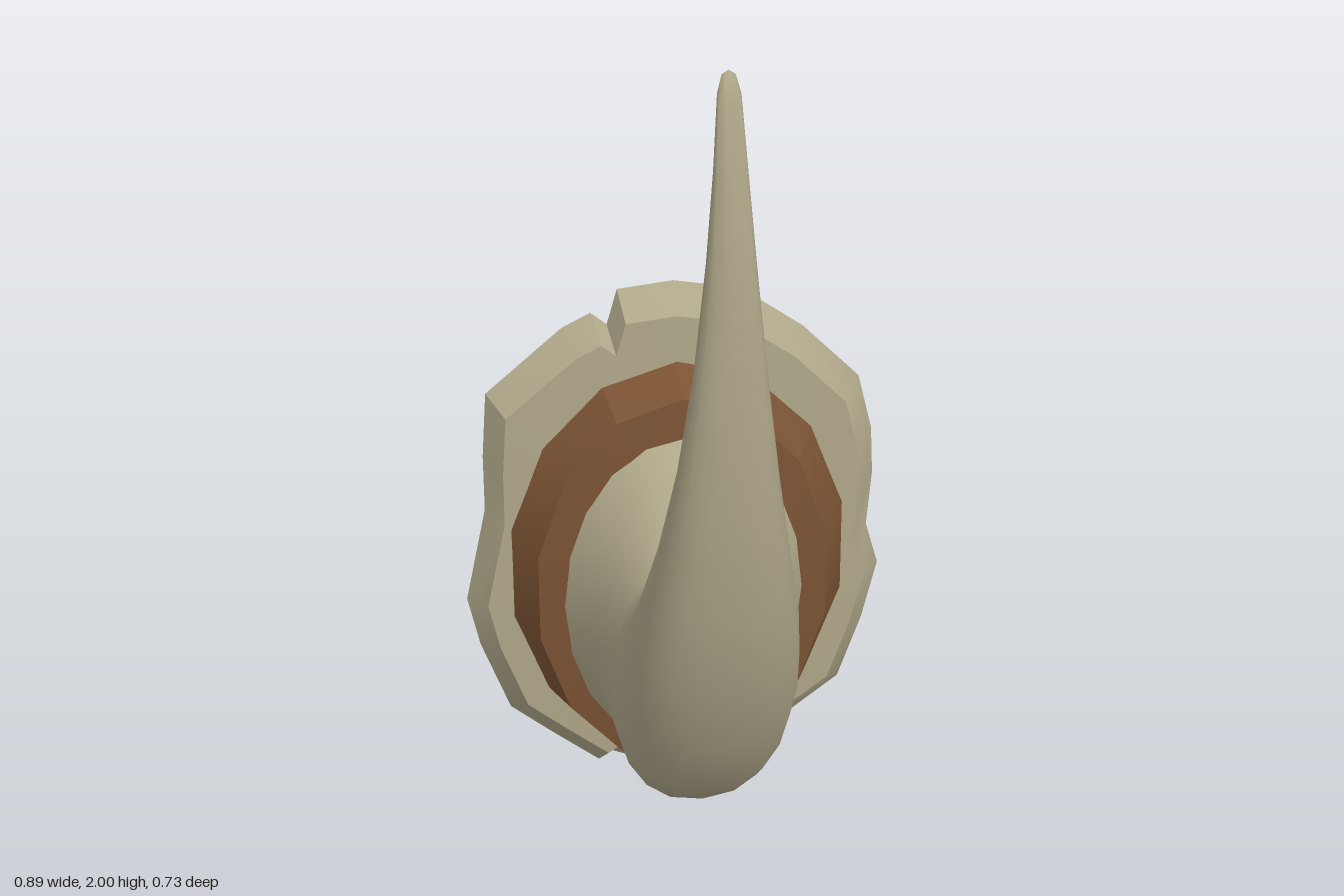
import * as THREE from 'three';
import { toCreasedNormals } from 'three/addons/utils/BufferGeometryUtils.js';

const bone = new THREE.MeshStandardMaterial({ name: 'bone', color: 0xb0a88a });
const bark = new THREE.MeshStandardMaterial({ name: 'brown band', color: 0x7b5334 });

// Skin a list of closed rings (counter-clockwise from the front, running towards +z)
function loft(rings, crease) {
  const n = rings[0].length;
  const index = [];
  for (let i = 0; i < rings.length - 1; i++) {
    for (let j = 0; j < n; j++) {
      const a = i * n + j, b = i * n + (j + 1) % n;
      index.push(a, b, a + n, b, b + n, a + n);
    }
  }
  const geometry = new THREE.BufferGeometry();
  geometry.setAttribute('position', new THREE.Float32BufferAttribute(rings.flat(2), 3));
  geometry.setIndex(index);
  geometry.computeVertexNormals();
  return toCreasedNormals(geometry, crease);
}

function part(name, geometry, material) {
  const mesh = new THREE.Mesh(geometry, material);
  mesh.name = name;
  return mesh;
}

// Curved horn: each section spans a front point and a back point, with a half width
function hornGeometry() {
  // front z, front y, back z, back y, half width
  const sections = [
    [-0.235, 0.155, -0.235, 0.94, 0.256],
    [-0.17, 0.168, -0.175, 0.88, 0.218],
    [-0.11, 0.175, -0.12, 0.83, 0.198],
    [0.01, 0.19, -0.04, 0.76, 0.183],
    [0.09, 0.27, 0.02, 0.775, 0.18],
    [0.2, 0.45, 0.08, 0.82, 0.176],
    [0.28, 0.65, 0.15, 0.92, 0.158],
    [0.33, 0.85, 0.21, 1.05, 0.13],
    [0.357, 1.1, 0.26, 1.22, 0.098],
    [0.367, 1.35, 0.292, 1.43, 0.07],
    [0.36, 1.6, 0.302, 1.65, 0.047],
    [0.34, 1.8, 0.297, 1.82, 0.032],
    [0.31, 1.95, 0.286, 1.96, 0.022],
    [0.298, 1.99, 0.284, 1.99, 0.013],
    [0.29, 2.0, 0.29, 2.0, 0],
  ];
  const sides = 20;
  const rings = sections.map(([fz, fy, bz, by, w], i) => {
    const power = i < 3 ? 1 : 0.85; // slightly squared beyond the root
    const round = (v) => Math.sign(v) * Math.abs(v) ** power;
    const ring = [];
    for (let j = 0; j < sides; j++) {
      const t = (j / sides) * Math.PI * 2;
      const s = (1 + round(Math.sin(t))) / 2;
      ring.push([w * round(Math.cos(t)), fy + (by - fy) * s, fz + (bz - fz) * s]);
    }
    return ring;
  });
  return loft(rings, 0.9);
}

// Faceted band around the root of the horn
function bandGeometry() {
  const sides = 14;
  const ring = (rx, bottom, top, z) => Array.from({ length: sides }, (_, j) => {
    const t = Math.PI / 2 + (j / sides) * Math.PI * 2;
    const mid = (top + bottom) / 2;
    return [rx * Math.cos(t), mid + (top - mid) * Math.sin(t), z];
  });
  return loft([
    ring(0.36, 0.105, 1.07, -0.306),
    ring(0.312, 0.108, 1.02, -0.234),
    ring(0.235, 0.17, 0.92, -0.225),
  ], 0.35);
}

// Broken-edged base plate with a shallow funnel behind
function plateGeometry() {
  const outline = [
    [0.415, 0.6], [0.425, 0.73], [0.42, 0.84], [0.39, 0.97], [0.27, 1.1], [0.14, 1.2],
    [0, 1.23], [-0.115, 1.22], [-0.137, 1.14], [-0.17, 1.17], [-0.23, 1.14], [-0.39, 1.0],
    [-0.4, 0.85], [-0.4, 0.72], [-0.445, 0.5], [-0.42, 0.38], [-0.36, 0.21], [-0.27, 0.13],
    [-0.17, 0.045], [-0.14, 0.065], [0, 0], [0.18, 0.07], [0.36, 0.21], [0.41, 0.36], [0.442, 0.5],
  ];
  const cy = 0.6;
  const rim = (k, z) => outline.map(([x, y]) => [x * k, cy + (y - cy) * k, z]);
  const oval = (rx, ry, y0, z) => outline.map(([x, y]) => {
    const t = Math.atan2((y - cy) / 0.6, x / 0.42);
    return [rx * Math.cos(t), y0 + ry * Math.sin(t), z];
  });
  return loft([
    oval(0, 0, 0.53, -0.175),
    oval(0.06, 0.1, 0.54, -0.188),
    oval(0.14, 0.22, 0.55, -0.21),
    oval(0.23, 0.34, 0.56, -0.245),
    oval(0.3, 0.43, 0.58, -0.285),
    oval(0.35, 0.5, 0.6, -0.325),
    rim(0.98, -0.36),
    rim(1, -0.356),
    rim(0.91, -0.307),
    oval(0.335, 0.46, 0.59, -0.304),
  ], 0.5);
}

export function createModel() {
  const model = new THREE.Group();
  model.name = 'mountedHorn';
  model.add(
    part('horn', hornGeometry(), bone),
    part('rootBand', bandGeometry(), bark),
    part('basePlate', plateGeometry(), bone),
  );
  return model;
}
